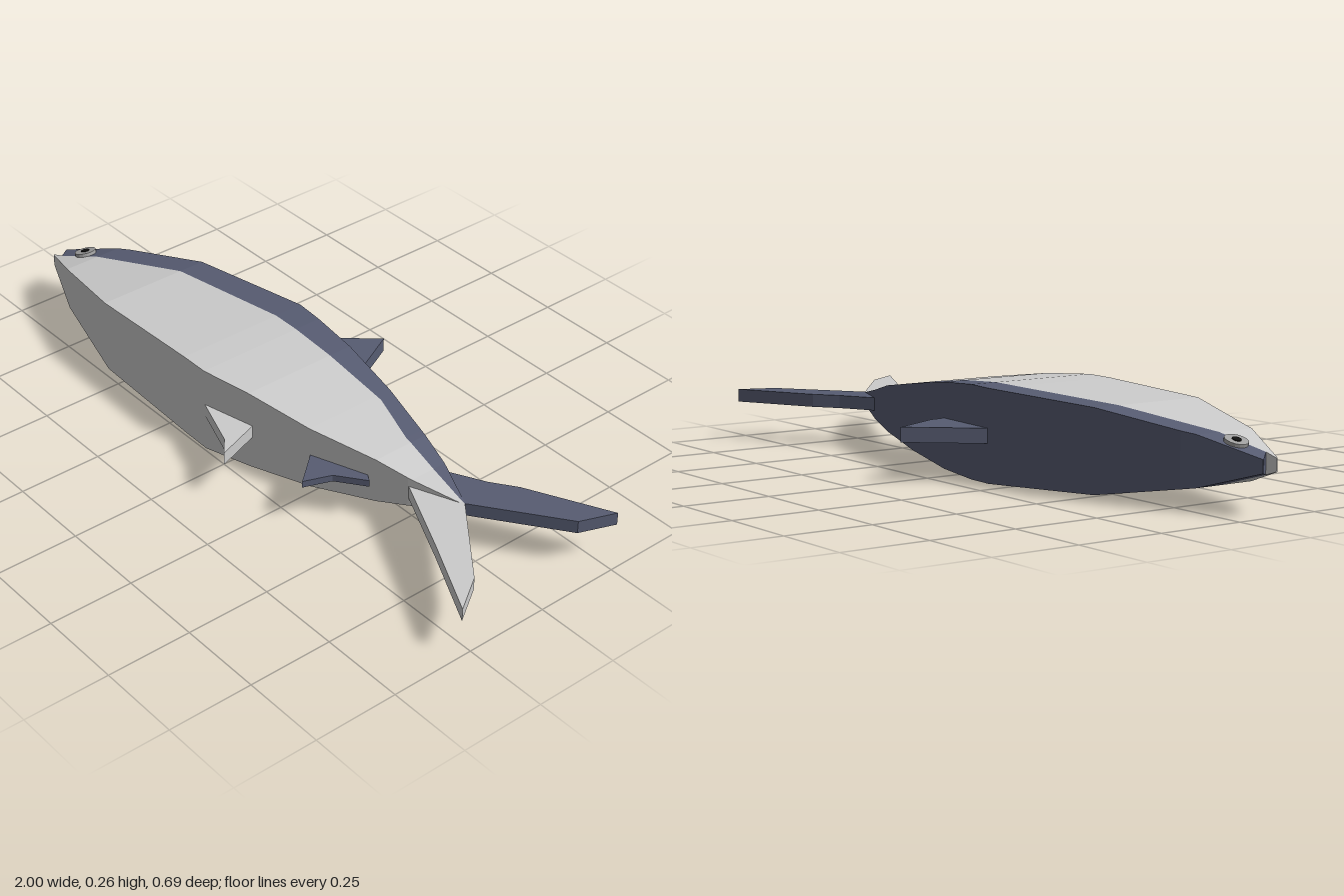
import * as THREE from 'three';

const MID = 0.131; // height of the fish's plane of symmetry
const mat = (color) => new THREE.MeshStandardMaterial({ color, flatShading: true });

// Outlines as [x, value] polylines
const THICK = [[-1, 0.018], [-0.84, 0.068], [-0.56, 0.114], [-0.18, 0.13], [-0.09, 0.131],
  [0.06, 0.122], [0.26, 0.096], [0.45, 0.068], [0.55, 0.043], [0.69, 0.017]];
const BACK = [[-1, 0.073], [-0.8, -0.024], [-0.56, -0.11], [-0.18, -0.172], [0.06, -0.152],
  [0.26, -0.125], [0.55, -0.065], [0.69, -0.012]];
const SEAM_UPPER = [[-1, 0.076], [-0.965, 0.115], [-0.56, -0.03], [-0.18, -0.083], [0.28, -0.077],
  [0.43, -0.035], [0.55, -0.025], [0.69, -0.01]];
const SEAM_LOWER = [[-1, 0.118], ...SEAM_UPPER.slice(1)];
const BELLY = [[-1, 0.122], [-0.84, 0.18], [-0.56, 0.24], [-0.09, 0.243], [0.26, 0.16],
  [0.54, 0.055], [0.69, -0.007]];

function sample(line, x) {
  let i = 0;
  while (i < line.length - 2 && x > line[i + 1][0]) i++;
  const [x0, v0] = line[i], [x1, v1] = line[i + 1];
  return THREE.MathUtils.lerp(v0, v1, (x - x0) / (x1 - x0));
}

// Rectangular sections lofted along x between two outlines
function loft(near, far) {
  const xs = [...new Set([...THICK, ...near, ...far].map((p) => p[0]))].sort((a, b) => a - b);
  const rings = xs.map((x) => {
    const h = sample(THICK, x), a = sample(near, x), b = sample(far, x);
    return [[x, MID + h, a], [x, MID + h, b], [x, MID - h, b], [x, MID - h, a]];
  });
  const pos = [];
  const quad = (a, b, c, d) => pos.push(...a, ...b, ...c, ...a, ...c, ...d);
  for (let i = 0; i < rings.length - 1; i++) {
    for (let k = 0; k < 4; k++) {
      const n = (k + 1) % 4;
      quad(rings[i][k], rings[i][n], rings[i + 1][n], rings[i + 1][k]);
    }
  }
  const first = rings[0], last = rings[rings.length - 1];
  quad(first[3], first[2], first[1], first[0]);
  quad(...last);
  const geo = new THREE.BufferGeometry();
  geo.setAttribute('position', new THREE.Float32BufferAttribute(pos, 3));
  geo.computeVertexNormals();
  return geo;
}

// Flat plate from an [x, z] outline, centred on the symmetry plane
function plate(points, half) {
  const shape = new THREE.Shape(points.map(([x, z]) => new THREE.Vector2(x, -z)));
  return new THREE.ExtrudeGeometry(shape, { depth: half * 2, bevelEnabled: false })
    .rotateX(-Math.PI / 2).translate(0, MID - half, 0);
}

export function createModel() {
  const fish = new THREE.Group();
  fish.name = 'fish';
  const blue = mat(0x575c72), grey = mat(0xcccccc), ring = mat(0xa0a0a0), black = mat(0x111111);
  const add = (name, geo, material, parent = fish) => {
    const mesh = new THREE.Mesh(geo, material);
    mesh.name = name;
    parent.add(mesh);
    return mesh;
  };

  // Body
  add('backBody', loft(BACK, SEAM_UPPER), blue);
  add('bellyBody', loft(SEAM_LOWER, BELLY), grey);

  // Fins
  add('dorsalFin', plate([[-0.18, -0.165], [-0.02, -0.35], [0.055, -0.2], [0.06, -0.145]], 0.021), blue);
  add('pelvicFin', plate([[-0.1, 0.24], [0.07, 0.2], [0.12, 0.34], [0.07, 0.3]], 0.019), grey);
  add('analFin', plate([[0.26, 0.155], [0.34, 0.25], [0.37, 0.17], [0.45, 0.11], [0.415, 0.09]], 0.01), blue);

  // Tail
  add('upperTailLobe', plate([[0.55, -0.063], [0.66, -0.12], [0.73, -0.17], [0.97, -0.29],
    [0.93, -0.185], [0.69, -0.01], [0.55, -0.025]], 0.019), blue);
  add('lowerTailLobe', plate([[0.55, -0.025], [0.69, -0.01], [0.925, 0.175], [0.995, 0.28],
    [0.77, 0.165], [0.54, 0.053]], 0.019), grey);

  // Eye, lying on the slope of the upper cheek
  const eye = new THREE.Group();
  eye.name = 'eye';
  eye.position.set(-0.903, MID + 0.05, 0.07);
  eye.rotation.z = 0.31;
  add('eyeRing', new THREE.CylinderGeometry(0.032, 0.032, 0.016, 16), ring, eye);
  add('pupil', new THREE.CylinderGeometry(0.013, 0.013, 0.02, 12), black, eye);
  fish.add(eye);

  return fish;
}
